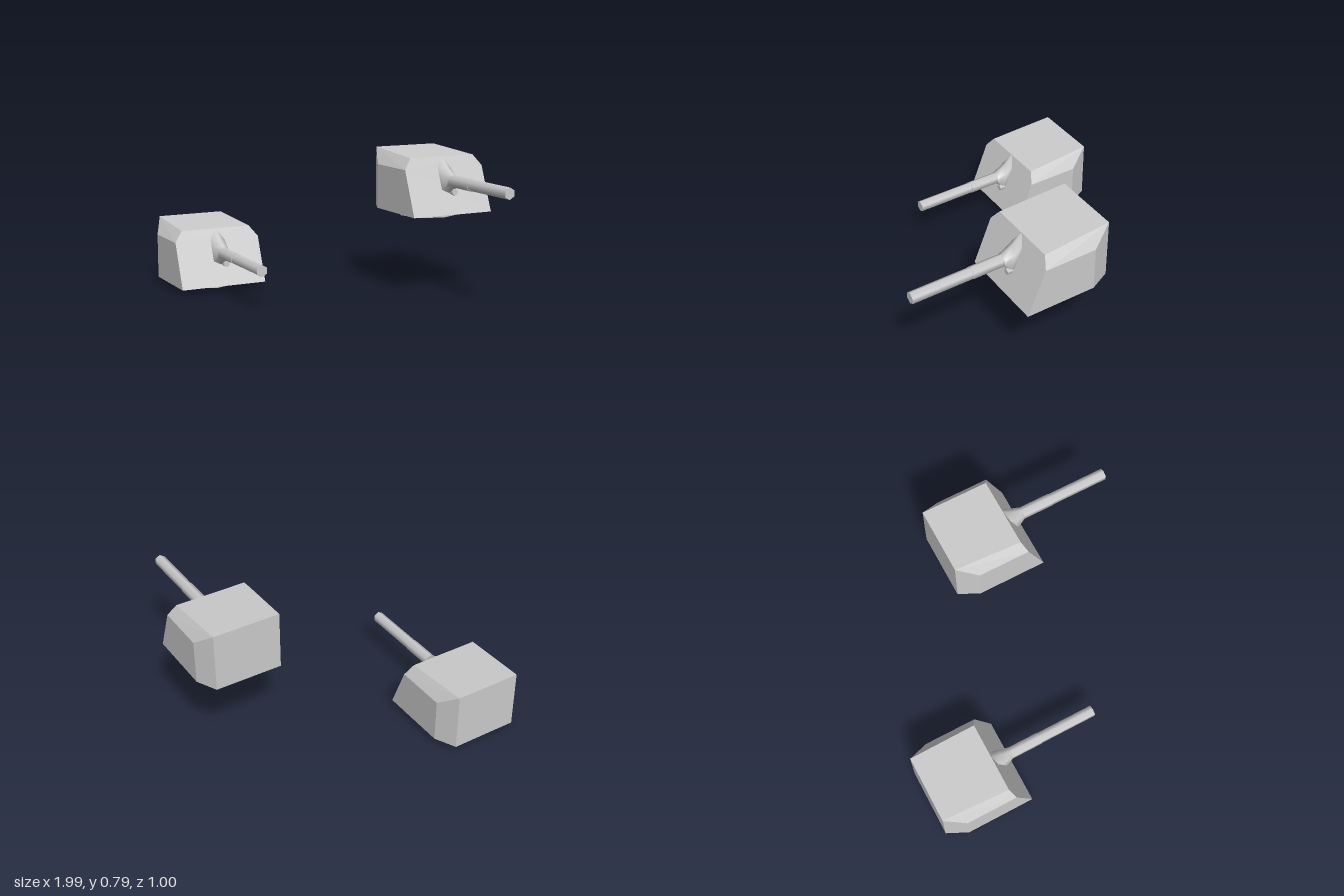
import * as THREE from 'three';
import { ConvexGeometry } from 'three/addons/geometries/ConvexGeometry.js';

const grey = new THREE.MeshStandardMaterial({ color: 0xcccccc });
const flat = new THREE.MeshStandardMaterial({ color: 0xcccccc, flatShading: true });
const open = new THREE.MeshStandardMaterial({ color: 0xcccccc, side: THREE.DoubleSide });

// z of the sloping front plate at height y
const plateZ = (y) => 0.268 - 0.404 * (y - 0.03);

function part(name, geometry, material) {
  const mesh = new THREE.Mesh(geometry, material);
  mesh.name = name;
  return mesh;
}

// Six-sided rod along z from z0 to z1, with a corner pointing up
function rod(name, radius, z0, z1, x, y) {
  const g = new THREE.CylinderGeometry(radius, radius, z1 - z0, 6);
  g.rotateX(Math.PI / 2).translate(x, y, (z0 + z1) / 2);
  return part(name, g, grey);
}

// Armoured housing: mirrored corner points wrapped in a convex shell
function housing() {
  const half = [
    [0.25, 0.03, plateZ(0.03)], [0.25, 0.28, plateZ(0.28)], [0.204, 0.34, plateZ(0.34)],
    [0.25, 0.03, -0.133], [0.25, 0.28, -0.133],
    [0.193, 0.03, -0.251], [0.193, 0.365, -0.251],
  ];
  const points = half.flatMap(([x, y, z]) => [new THREE.Vector3(x, y, z), new THREE.Vector3(-x, y, z)]);
  return part('housing', new ConvexGeometry(points), flat);
}

// Gun collar: six-sided rings flaring from the barrel back onto the plate
function collar() {
  // each ring: half width, then [y, z] of top, upper side, lower side, bottom
  const rings = [
    [0.031, [0.251, 0.262], [0.233, 0.262], [0.199, 0.262], [0.181, 0.262]],
    [0.041, [0.285, 0.198], [0.25, 0.208], [0.167, 0.226], [0.15, 0.232]],
    [0.041, [0.34, plateZ(0.34)], [0.28, plateZ(0.28)], [0.165, plateZ(0.165)], [0.145, plateZ(0.145)]],
  ];
  const pos = [], idx = [];
  rings.forEach(([w, top, up, low, bottom], r) => {
    pos.push(0, ...top, w, ...up, w, ...low, 0, ...bottom, -w, ...low, -w, ...up);
    if (r === rings.length - 1) return;
    for (let i = 0; i < 6; i++) {
      const a = r * 6 + i, b = r * 6 + (i + 1) % 6;
      idx.push(a, b, a + 6, b, b + 6, a + 6);
    }
  });
  const g = new THREE.BufferGeometry();
  g.setAttribute('position', new THREE.Float32BufferAttribute(pos, 3));
  g.setIndex(idx);
  g.computeVertexNormals();
  return part('gunCollar', g, open);
}

function turret(name, x, y) {
  const group = new THREE.Group();
  group.name = name;

  // Open eight-sided turret ring
  const ring = new THREE.CylinderGeometry(0.172, 0.172, 0.03, 8, 1, true);
  ring.translate(0, 0.015, 0);

  group.add(
    part('turretRing', ring, open),
    housing(),
    collar(),
    rod('barrelSleeve', 0.035, 0.25, 0.443, 0, 0.216),
    rod('barrel', 0.0325, 0.44, 0.783, 0, 0.216),
    rod('secondaryGun', 0.018, 0.2, 0.249, 0.022, 0.15),
  );
  group.position.set(x, y, -0.185);
  group.rotation.y = THREE.MathUtils.degToRad(31);
  return group;
}

export function createModel() {
  const model = new THREE.Group();
  model.name = 'twoTurrets';
  model.add(turret('lowerTurret', -0.705, 0), turret('upperTurret', 0.565, 0.42));
  return model;
}
